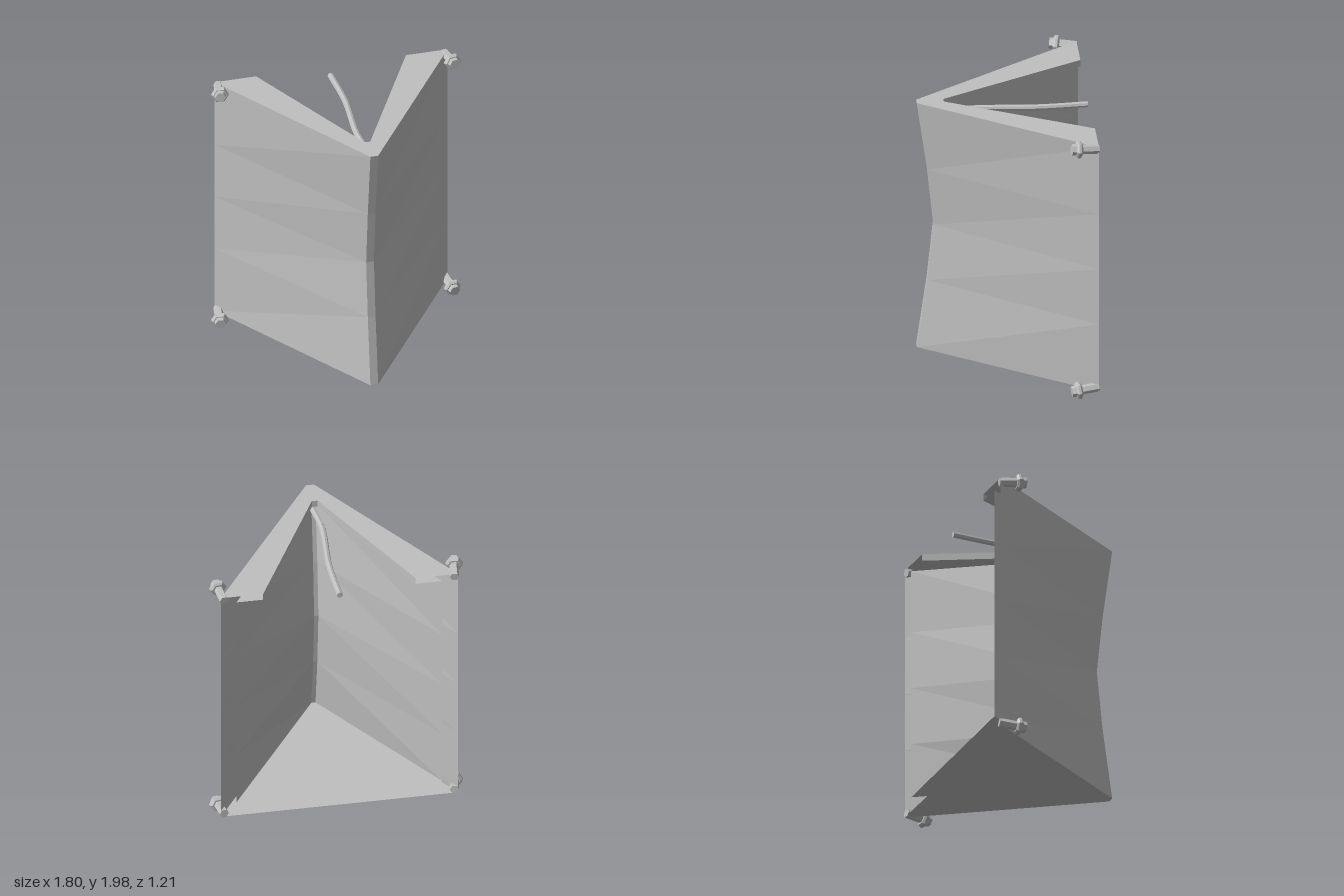
import * as THREE from 'three';

export function createModel() {
  const model = new THREE.Group();
  const grey = new THREE.MeshStandardMaterial({ color: 0xc0c0c0, side: THREE.DoubleSide, flatShading: true });
  grey.name = 'plain grey';

  const add = (geometry, name, parent = model) => {
    const mesh = new THREE.Mesh(geometry, grey);
    mesh.name = name;
    parent.add(mesh);
    return mesh;
  };

  // Skin through rows of points, one row per cross-section
  const skin = (rows) => {
    const pos = [];
    for (let i = 0; i + 1 < rows.length; i++) {
      for (let j = 0; j + 1 < rows[i].length; j++) {
        const a = rows[i][j], b = rows[i][j + 1], c = rows[i + 1][j + 1], d = rows[i + 1][j];
        pos.push(...a, ...b, ...c, ...a, ...c, ...d);
      }
    }
    const g = new THREE.BufferGeometry();
    g.setAttribute('position', new THREE.Float32BufferAttribute(pos, 3));
    g.computeVertexNormals();
    return g;
  };

  // Horizontal sheet from (x, z) corners
  const sheet = (corners, y) => {
    const shape = new THREE.Shape(corners.map(([x, z]) => new THREE.Vector2(x, z)));
    return new THREE.ShapeGeometry(shape).rotateX(Math.PI / 2).translate(0, y, 0);
  };

  const back = -0.6, bottom = 0.05, top = 1.95, floorY = 0.16, ceilingY = 1.9;

  // Wedge walls: straight back edges, prow bent inwards at mid height
  const dents = [0, 0.073, 0.117, 0.073, 0];
  const wedge = (y0, y1, halfBack, halfFront, front) => {
    const ys = [y0, 0.57, 1, 1.43, y1];
    return skin(ys.map((y, i) => [
      [-halfBack, y, back], [-halfFront, y, front - dents[i]],
      [halfFront, y, front - dents[i]], [halfBack, y, back],
    ]));
  };
  add(wedge(bottom, top, 0.84, 0.028, 0.6), 'outerWalls');
  add(wedge(floorY, ceilingY, 0.73, 0.015, 0.46), 'innerWalls');

  // Floor, two layers with an open gap at the back
  add(sheet([[-0.84, back], [0.84, back], [0.028, 0.6], [-0.028, 0.6]], bottom), 'outerFloor');
  add(sheet([[-0.73, back], [0.73, back], [0.015, 0.46], [-0.015, 0.46]], floorY), 'innerFloor');

  // Top, cut by a deep V notch
  const notch = [[0.54, back], [0.02, 0.41], [-0.02, 0.41], [-0.54, back]];
  add(sheet([[-0.84, back], [-0.028, 0.6], [0.028, 0.6], [0.84, back], ...notch], top), 'outerTop');
  add(sheet([[-0.73, back], [-0.015, 0.46], [0.015, 0.46], [0.73, back], ...notch], ceilingY), 'innerTop');
  add(skin([ceilingY, top].map((y) => notch.map(([x, z]) => [x, y, z]))), 'notchEdge');

  // Slightly wavy rod lying in the notch
  const rodPath = new THREE.CatmullRomCurve3([
    [0.015, 1.87, 0.44], [-0.015, 1.87, 0.2], [0.012, 1.87, -0.25], [-0.004, 1.87, back],
  ].map((p) => new THREE.Vector3(...p)));
  add(new THREE.TubeGeometry(rodPath, 16, 0.022, 8, false), 'rod');
  add(new THREE.CircleGeometry(0.022, 8).rotateY(Math.PI).translate(-0.004, 1.87, back), 'rodEnd');

  // Hex bolts at the four back corners, splayed outwards
  const hex = (r0, r1, z0, z1) => new THREE.CylinderGeometry(r1, r0, z1 - z0, 6)
    .rotateY(Math.PI / 6).rotateX(Math.PI / 2).translate(0, 0, (z0 + z1) / 2);
  for (const side of [-1, 1]) {
    for (const up of [-1, 1]) {
      const bolt = new THREE.Group();
      bolt.name = 'bolt';
      add(hex(0.033, 0.033, 0, 0.14), 'boltShaft', bolt);
      add(hex(0.046, 0.061, 0.122, 0.135), 'flangeBack', bolt);
      add(hex(0.061, 0.061, 0.135, 0.153), 'flange', bolt);
      add(hex(0.061, 0.05, 0.153, 0.165), 'flangeFront', bolt);
      add(hex(0.042, 0.038, 0.165, 0.194), 'boltHead', bolt);
      bolt.position.set(side * 0.815, 1 + up * 0.925, back);
      bolt.lookAt(side * 0.845, 1 + up * 0.942, -0.41);
      model.add(bolt);
    }
  }
  return model;
}
